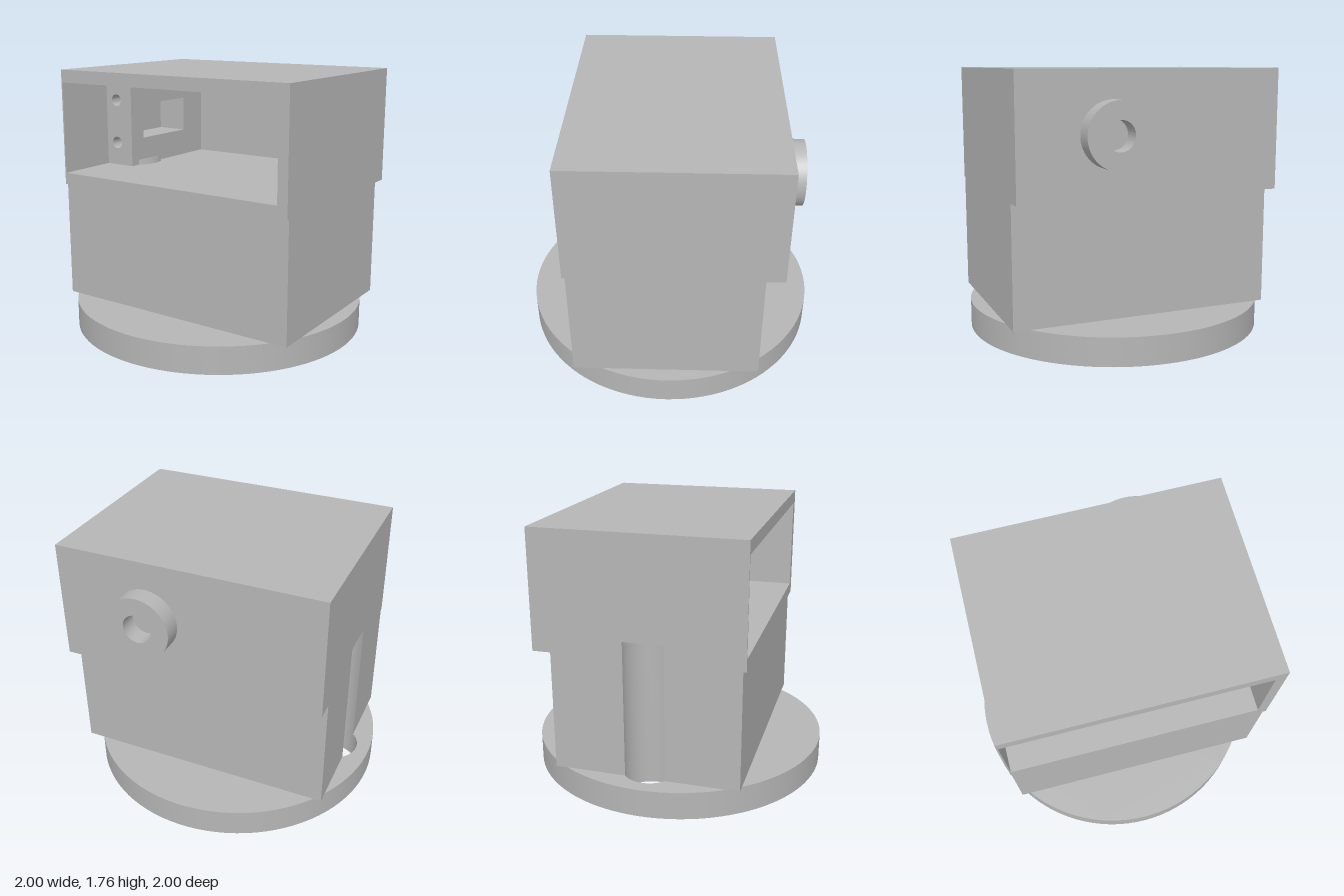
import * as THREE from 'three';
import { toCreasedNormals } from 'three/addons/utils/BufferGeometryUtils.js';

const grey = new THREE.MeshStandardMaterial({ color: 0xb6b6b6 });
grey.name = 'plain grey';

// Main dimensions
const L = -0.85, R = 0.905, FRONT = 0.635, BACK = -0.725;
const FLOOR = 1.055, CEIL = 1.675, TOP = 1.76, NOTCH_TOP = 1.09;
const CABLE = { x: -0.735, r: 0.175 };
const IN_L = -0.84, IN_R = 0.835, TAB_L = -0.615, TAB_R = 0.61;
const TAB_FRONT = 0.2, TAB_BACK = 0.07, IN_BACK = -0.65;

export function createModel() {
  const model = new THREE.Group();

  const add = (name, geo) => {
    const mesh = new THREE.Mesh(geo, grey);
    mesh.name = name;
    model.add(mesh);
    return mesh;
  };
  const box = (name, x0, x1, y0, y1, z0, z1) =>
    add(name, new THREE.BoxGeometry(x1 - x0, y1 - y0, z1 - z0)
      .translate((x0 + x1) / 2, (y0 + y1) / 2, (z0 + z1) / 2));
  const circle = (x, y, r, Type = THREE.Path) => new Type().absarc(x, y, r, 0, Math.PI * 2);
  const extrude = (shape, depth, seg = 24) =>
    new THREE.ExtrudeGeometry(shape, { depth, bevelEnabled: false, curveSegments: seg });
  // Plan shapes are drawn in (x, -z) and raised from y0 to y1
  const raise = (name, shape, y0, y1, seg) =>
    add(name, toCreasedNormals(extrude(shape, y1 - y0, seg).rotateX(-Math.PI / 2).translate(0, y0, 0), 0.5));
  // Elevation shapes are drawn in (x, y) and run from z0 to z1
  const slab = (name, shape, z0, z1, seg) =>
    add(name, toCreasedNormals(extrude(shape, z1 - z0, seg).translate(0, 0, z0), 0.5));
  const poly = (pts) => new THREE.Shape(pts.map(([x, y]) => new THREE.Vector2(x, y)));
  const arc = (a0, a1, n = 20) => Array.from({ length: n + 1 }, (_, i) => {
    const a = a0 + (a1 - a0) * i / n;
    return [CABLE.x + CABLE.r * Math.cos(a), CABLE.r * Math.sin(a)];
  });

  // Round base: recessed underside, centre hole, four screw holes and cable hole
  const lower = circle(0, 0, 1, THREE.Shape);
  lower.holes.push(circle(0, 0, 0.385), circle(CABLE.x, 0, CABLE.r));
  raise('baseRim', lower, 0, 0.055, 48);
  const upper = circle(0, 0, 1, THREE.Shape);
  upper.holes.push(circle(0, 0, 0.117), circle(CABLE.x, 0, CABLE.r));
  for (let i = 0; i < 4; i++) {
    const a = i * Math.PI / 2;
    upper.holes.push(circle(0.24 * Math.cos(a), 0.24 * Math.sin(a), 0.047));
  }
  raise('basePlate', upper, 0.055, 0.185, 48);

  // Lower body and cavity floor, both with the cable groove on one side
  const outer = Math.acos((L - CABLE.x) / CABLE.r);
  const inner = Math.acos((TAB_L - CABLE.x) / CABLE.r);
  const grooved = (front, back) => poly([
    [L, -front], [R, -front], [R, -back], [L, -back], ...arc(outer, -outer, 32),
  ]);
  raise('lowerBody', grooved(0.615, -0.605), 0.185, 0.975);
  raise('cavityFloor', grooved(FRONT, BACK), 0.975, FLOOR);

  // Upper housing shell
  box('roof', L, R, CEIL, TOP, BACK, FRONT);
  box('backWall', L, R, FLOOR, CEIL, BACK, IN_BACK);
  box('rightWall', IN_R, R, FLOOR, CEIL, IN_BACK, FRONT);
  box('leftWallFront', L, IN_L, FLOOR, CEIL, TAB_FRONT, FRONT);
  box('leftWallBack', L, IN_L, NOTCH_TOP, CEIL, IN_BACK, TAB_FRONT);

  // Mounting tabs with screw holes
  const tab = (name, x0, x1, y0, holeX) => {
    const s = poly([[x0, y0], [x1, y0], [x1, CEIL], [x0, CEIL]]);
    for (const y of [1.215, 1.52]) s.holes.push(circle(holeX, y, 0.042));
    slab(name, s, TAB_BACK, TAB_FRONT, 16);
  };
  tab('leftTab', IN_L, TAB_L, NOTCH_TOP, -0.75);
  tab('rightTab', TAB_R, IN_R, FLOOR, 0.75);
  box('rightBlock', TAB_R, IN_R, FLOOR, CEIL, IN_BACK, TAB_BACK);

  // Left block: feet around the cable outlet, then a window above a ledge
  raise('leftFootFront', poly([
    [L, -TAB_FRONT], [TAB_L, -TAB_FRONT], ...arc(-inner, -outer),
  ]), FLOOR, NOTCH_TOP);
  raise('leftFootBack', poly([
    [TAB_L, -IN_BACK], [L, -IN_BACK], ...arc(outer, inner),
  ]), FLOOR, NOTCH_TOP);
  box('leftLedge', IN_L, TAB_L, NOTCH_TOP, 1.245, IN_BACK, TAB_BACK);
  box('leftWindowPost', IN_L, TAB_L, 1.245, 1.49, IN_BACK, -0.42);
  box('leftLintel', IN_L, TAB_L, 1.49, CEIL, IN_BACK, TAB_BACK);

  // Rear boss with a blind hole
  const boss = circle(0.3, 1.37, 0.21, THREE.Shape);
  boss.holes.push(circle(0.3, 1.37, 0.095));
  slab('rearBoss', boss, -0.845, BACK, 40);

  return model;
}
